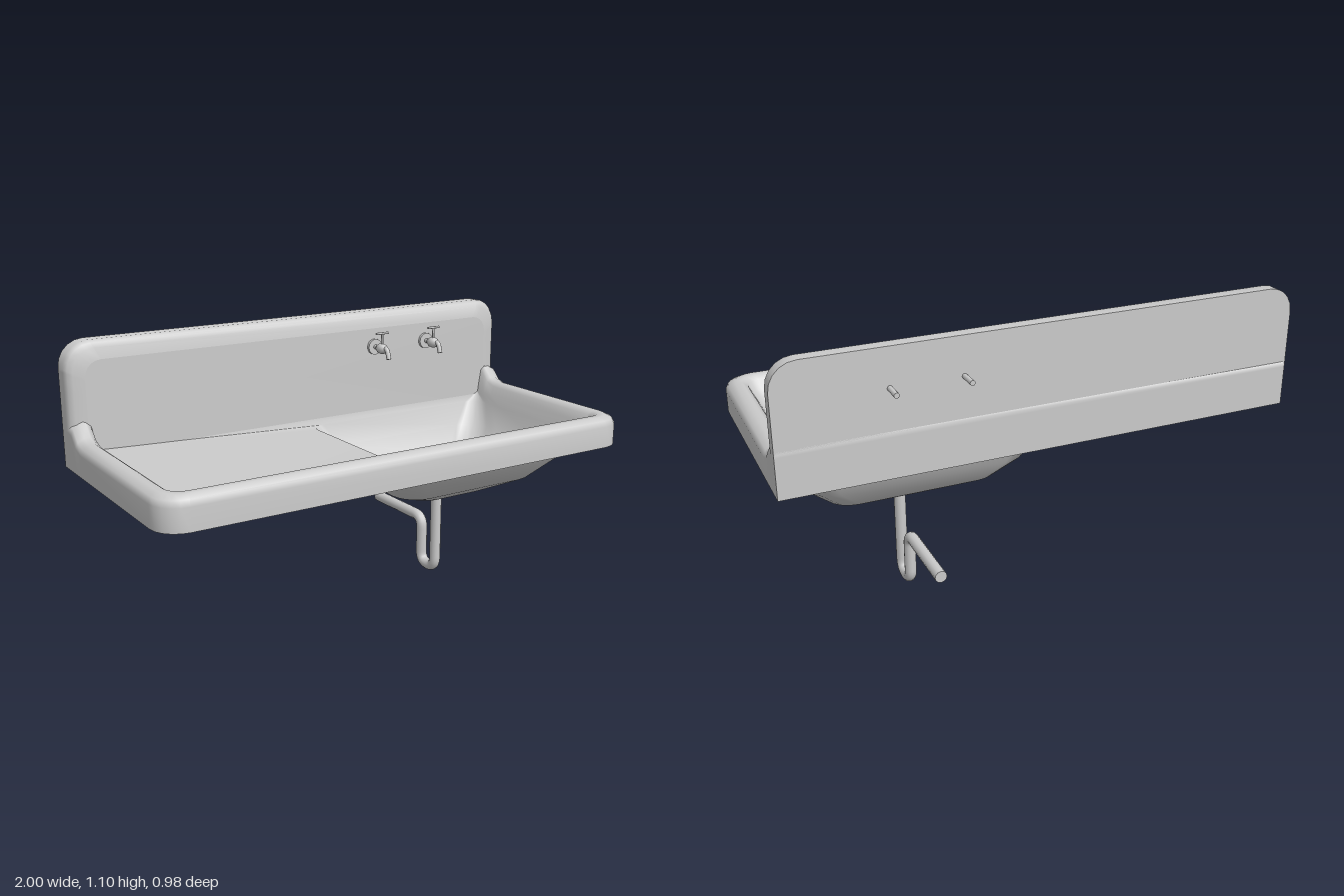
import * as THREE from 'three';

const V = (x, y, z) => new THREE.Vector3(x, y, z);
const material = new THREE.MeshStandardMaterial({ color: 0xcccccc, side: THREE.DoubleSide });

// Cove: the rim sweeps upward as it nears the backsplash
const lift = (z) => 0.07 * Math.pow(THREE.MathUtils.clamp((-0.24 - z) / 0.1, 0, 1), 2.2);

// Rounded rectangle in plan; front and back corners have their own radii
function ring(x0, x1, z0, z1, y, rf, rb, { sides, cove = false } = {}) {
  const steps = 5;
  const right = [];
  const corner = (cz, r, from) => {
    for (let i = 0; i <= steps; i++) {
      const a = from - (i / steps) * Math.PI / 2;
      right.push([r - r * Math.cos(a), cz + r * Math.sin(a)]);
    }
  };
  const zf = z1 - rf, zb = z0 + rb;
  corner(zf, rf, Math.PI / 2);
  const mids = sides || [0.8, 0.9, 0.97].map((t) => zf + (zb - zf) * t);
  mids.forEach((z) => right.push([0, z]));
  corner(zb, rb, 0);
  const h = (z) => y + (cove ? lift(z) : 0);
  return [
    ...right.map(([d, z]) => V(x1 - d, h(z), z)),
    ...right.slice().reverse().map(([d, z]) => V(x0 + d, h(z), z)),
  ];
}

// Skin through matching rings; a repeated ring makes a sharp edge
function loft(rings) {
  const n = rings[0].length, index = [];
  for (let i = 0; i < rings.length - 1; i++) {
    for (let j = 0; j < n; j++) {
      const k = (j + 1) % n;
      const a = i * n + j, b = i * n + k, c = a + n, d = b + n;
      index.push(a, b, c, b, d, c);
    }
  }
  const g = new THREE.BufferGeometry().setFromPoints(rings.flat());
  g.setIndex(index);
  g.computeVertexNormals();
  return g;
}
const point = (r, x, y, z) => r.map(() => V(x, y, z));

function mesh(name, geometry, x = 0, y = 0, z = 0) {
  const m = new THREE.Mesh(geometry, material);
  m.name = name;
  m.position.set(x, y, z);
  return m;
}

// Pipe through points with rounded bends and closed ends
function pipe(name, pts, radius, bend, segments) {
  const path = new THREE.CurvePath();
  let last = pts[0];
  for (let i = 1; i < pts.length - 1; i++) {
    const toward = (q) => pts[i].clone().add(q.clone().sub(pts[i]).setLength(bend));
    const a = toward(pts[i - 1]), b = toward(pts[i + 1]);
    if (a.distanceTo(last) > 1e-4) path.add(new THREE.LineCurve3(last, a));
    path.add(new THREE.QuadraticBezierCurve3(a, pts[i], b));
    last = b;
  }
  const end = pts[pts.length - 1];
  path.add(new THREE.LineCurve3(last, end));
  const g = new THREE.Group();
  g.name = name;
  g.add(mesh('tube', new THREE.TubeGeometry(path, segments, radius, 12)));
  const cap = mesh('endCap', new THREE.CircleGeometry(radius, 12), end.x, end.y, end.z);
  cap.lookAt(end.clone().add(path.getTangent(1)));
  g.add(cap);
  return g;
}

const rod = (r1, r2, len, sides = 12) => new THREE.CylinderGeometry(r1, r2, len, sides);

function tap() {
  const g = new THREE.Group();
  g.name = 'tap';
  const alongZ = (geo) => geo.rotateX(Math.PI / 2);
  g.add(mesh('supplyPipe', alongZ(rod(0.01, 0.01, 0.195)), 0, 0, -0.3925));
  g.add(mesh('flange', alongZ(rod(0.033, 0.033, 0.012, 16)), 0, 0, -0.329));
  // Bulbous valve body
  const profile = [[0, -0.035], [0.011, -0.033], [0.021, -0.014], [0.022, 0.006], [0.014, 0.026], [0, 0.034]];
  g.add(mesh('valveBody', alongZ(new THREE.LatheGeometry(profile.map((p) => new THREE.Vector2(...p)), 14)), 0, 0, -0.273));
  g.add(pipe('spout', [V(0, 0.002, -0.27), V(0, 0.004, -0.236), V(0, -0.037, -0.222)], 0.01, 0.014, 16));
  g.add(mesh('handleStem', rod(0.005, 0.005, 0.055, 8), 0, 0.04, -0.273));
  g.add(mesh('handleBar', rod(0.005, 0.005, 0.06, 8).rotateZ(Math.PI / 2), 0, 0.065, -0.273));
  return g;
}

export function createModel() {
  const model = new THREE.Group();
  model.name = 'sink';

  // Underside, rim, sloping drainboard and basin interior
  const coveSides = [-0.24, -0.29, -0.33];
  const rim = (inset, y, back, cove) => ring(-1 + inset, 1 - inset, back, 0.485 - inset, y,
    Math.max(0.1 - inset * 0.6, 0.03), 0, { sides: coveSides, cove });
  const base = rim(0, 0.62, -0.42, false);
  const outerBowl = [
    [0.27, 0.63, -0.14, 0.11, 0.393, 0.08],
    [0.12, 0.78, -0.25, 0.23, 0.455, 0.1],
    [0.03, 0.87, -0.32, 0.31, 0.543, 0.11],
    [0, 0.9, -0.35, 0.36, 0.62, 0.11],
  ].map(([x0, x1, z0, z1, y, r]) => ring(x0, x1, z0, z1, y, r, r));
  const innerBowl = [
    [0.015, 0.885, -0.325, 0.36, 0.65, 0.06],
    [0.05, 0.85, -0.3, 0.3, 0.555, 0.09],
    [0.135, 0.765, -0.235, 0.22, 0.47, 0.09],
    [0.28, 0.62, -0.13, 0.1, 0.413, 0.07],
  ].map(([x0, x1, z0, z1, y, r]) => ring(x0, x1, z0, z1, y, r, r));
  model.add(mesh('basinUnderside', loft([
    point(base, 0.45, 0.393, -0.015), outerBowl[0], ...outerBowl,
    outerBowl[3], base,
  ])));
  model.add(mesh('rimAndBasin', loft([
    base,
    rim(0, 0.705, -0.42, true),
    rim(0.01, 0.727, -0.42, true),
    rim(0.035, 0.74, -0.4, true),
    rim(0.06, 0.74, -0.345, true),
    rim(0.08, 0.725, -0.345, true),
    rim(0.095, 0.69, -0.34, false),
    ...innerBowl,
    point(base, 0.46, 0.408, -0.03),
  ])));

  // Backsplash, lofted from its flat back to its rounded front
  const slab = (inset, z) => ring(-1 + inset, 1 - inset, -1.1 + inset, -0.62, z,
    0, Math.max(0.1 - inset * 0.5, 0.03));
  const back = slab(0, -0.42);
  model.add(mesh('backsplash', loft([
    point(back, 0, -0.42, -0.86), back, back,
    slab(0, -0.37), slab(0.01, -0.353), slab(0.027, -0.342), slab(0.07, -0.335),
    slab(0.07, -0.335), point(back, 0, -0.335, -0.86),
  ]).rotateX(Math.PI / 2)));

  // Pair of taps
  for (const x of [0.335, 0.6]) {
    const t = tap();
    t.position.set(x, 0.953, 0);
    model.add(t);
  }

  // Drain collar and trap
  model.add(mesh('drainCollar', rod(0.043, 0.038, 0.022, 16), 0.46, 0.384, -0.04));
  model.add(pipe('drainTrap', [
    V(0.46, 0.39, -0.04), V(0.46, 0.022, -0.04), V(0.46, 0.022, -0.138),
    V(0.46, 0.225, -0.138), V(0.46, 0.225, -0.475),
  ], 0.023, 0.048, 90));

  return model;
}
